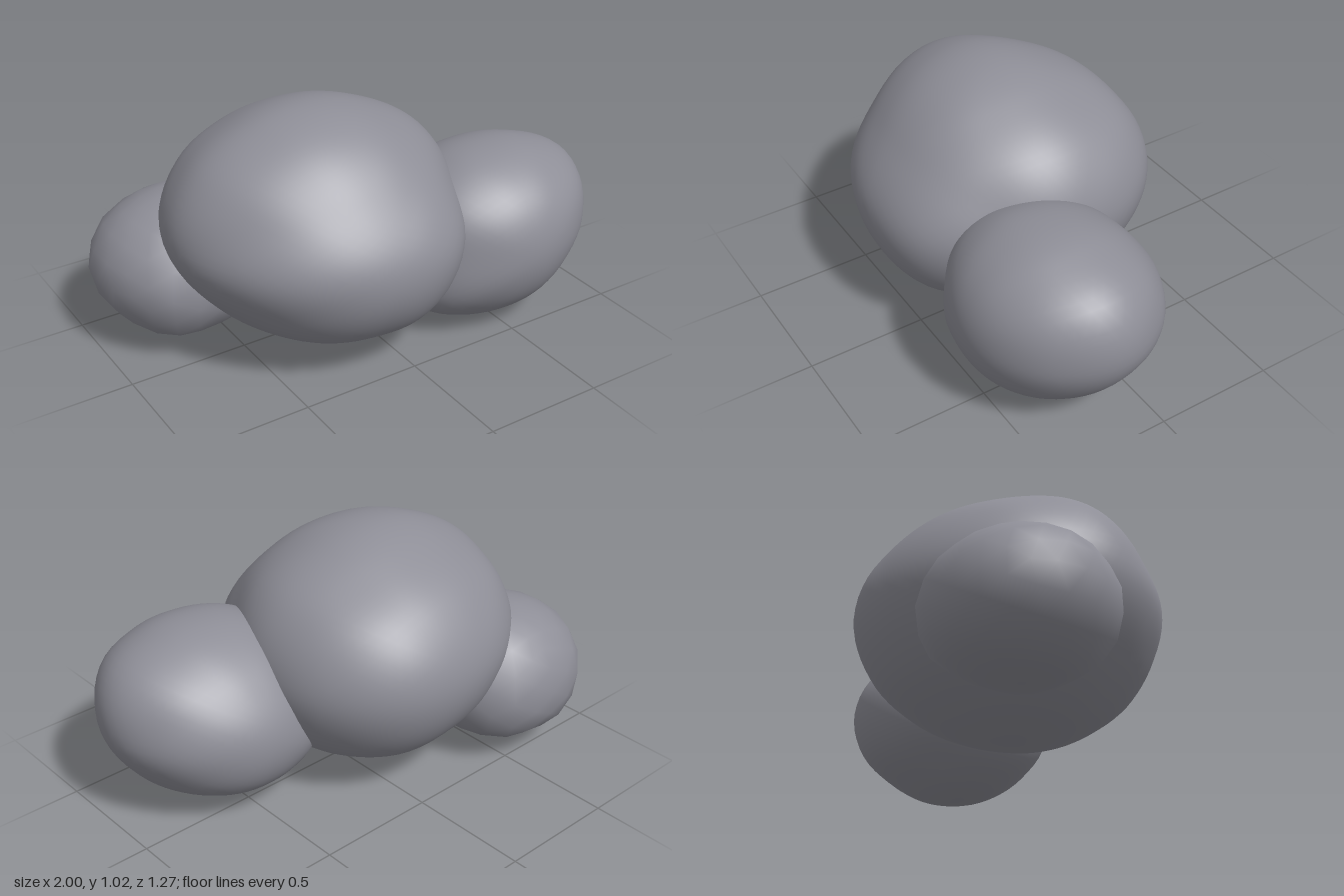
import * as THREE from 'three';
import { mergeVertices } from 'three/addons/utils/BufferGeometryUtils.js';

const material = new THREE.MeshStandardMaterial({ color: 0x8e8e97 });

// Squared gauge of a smooth closed outline given as 12 radii, 30 degrees apart
function outlineGauge(radii, u, v) {
  const lenSq = u * u + v * v;
  if (lenSq < 1e-12) return 0;
  const t = ((Math.atan2(v, u) / (2 * Math.PI) + 1) % 1) * 12;
  const i = Math.floor(t), f = t - i;
  const k = (n) => 1 / radii[(n + 12) % 12] ** 2;
  const a = k(i - 1), b = k(i), c = k(i + 1), d = k(i + 2);
  const w = b + 0.5 * f * (c - a + f * (2 * a - 5 * b + 4 * c - d + f * (3 * (b - c) + d - a)));
  return lenSq * w;
}

// A sphere reshaped so that its three central sections follow the outlines
function makeRock({ name, centre, detail, xy, zy, xz }) {
  const geo = new THREE.IcosahedronGeometry(1, detail);
  geo.deleteAttribute('uv');
  geo.deleteAttribute('normal');
  const rock = mergeVertices(geo, 1e-4);
  const pos = rock.attributes.position;
  const p = new THREE.Vector3();
  for (let i = 0; i < pos.count; i++) {
    p.fromBufferAttribute(pos, i).normalize();
    const rx = p.x > 0 ? xy[0] : xy[6];
    const ry = p.y > 0 ? xy[3] : xy[9];
    const rz = p.z > 0 ? zy[0] : zy[6];
    // every axis is counted by two outlines, so one share is taken off
    const g = outlineGauge(xy, p.x, p.y) + outlineGauge(zy, p.z, p.y) + outlineGauge(xz, p.x, p.z)
      - (p.x / rx) ** 2 - (p.y / ry) ** 2 - (p.z / rz) ** 2;
    p.divideScalar(Math.sqrt(g));
    pos.setXYZ(i, p.x, p.y, p.z);
  }
  rock.computeVertexNormals();
  const mesh = new THREE.Mesh(rock, material);
  mesh.name = name;
  mesh.position.set(...centre);
  return mesh;
}

// Section radii start on the first axis and turn towards the second
const rocks = [
  {
    name: 'largeBoulder', centre: [-0.18, 0.53, 0.02], detail: 15,
    xy: [0.612, 0.575, 0.502, 0.487, 0.515, 0.588, 0.622, 0.535, 0.49, 0.48, 0.522, 0.575],
    zy: [0.607, 0.52, 0.497, 0.487, 0.488, 0.548, 0.597, 0.557, 0.497, 0.48, 0.512, 0.585],
    xz: [0.612, 0.605, 0.635, 0.607, 0.597, 0.6, 0.622, 0.605, 0.592, 0.597, 0.635, 0.635],
  },
  {
    name: 'leftBoulder', centre: [0.52, 0.4, 0.2], detail: 11,
    xy: [0.475, 0.465, 0.38, 0.345, 0.36, 0.4, 0.42, 0.475, 0.43, 0.4, 0.4, 0.422],
    zy: [0.412, 0.4, 0.37, 0.345, 0.342, 0.365, 0.416, 0.432, 0.4, 0.4, 0.405, 0.41],
    xz: [0.475, 0.45, 0.425, 0.412, 0.41, 0.425, 0.42, 0.42, 0.42, 0.416, 0.425, 0.45],
  },
  {
    name: 'smallRearBoulder', centre: [-0.62, 0.33, -0.28], detail: 3,
    xy: [0.36, 0.35, 0.32, 0.3, 0.31, 0.355, 0.38, 0.35, 0.318, 0.292, 0.305, 0.34],
    zy: [0.34, 0.33, 0.31, 0.3, 0.31, 0.335, 0.358, 0.36, 0.315, 0.292, 0.31, 0.33],
    xz: [0.36, 0.36, 0.36, 0.34, 0.375, 0.37, 0.38, 0.38, 0.375, 0.358, 0.375, 0.37],
  },
];

export function createModel() {
  const group = new THREE.Group();
  group.name = 'boulders';
  for (const rock of rocks) group.add(makeRock(rock));
  return group;
}
